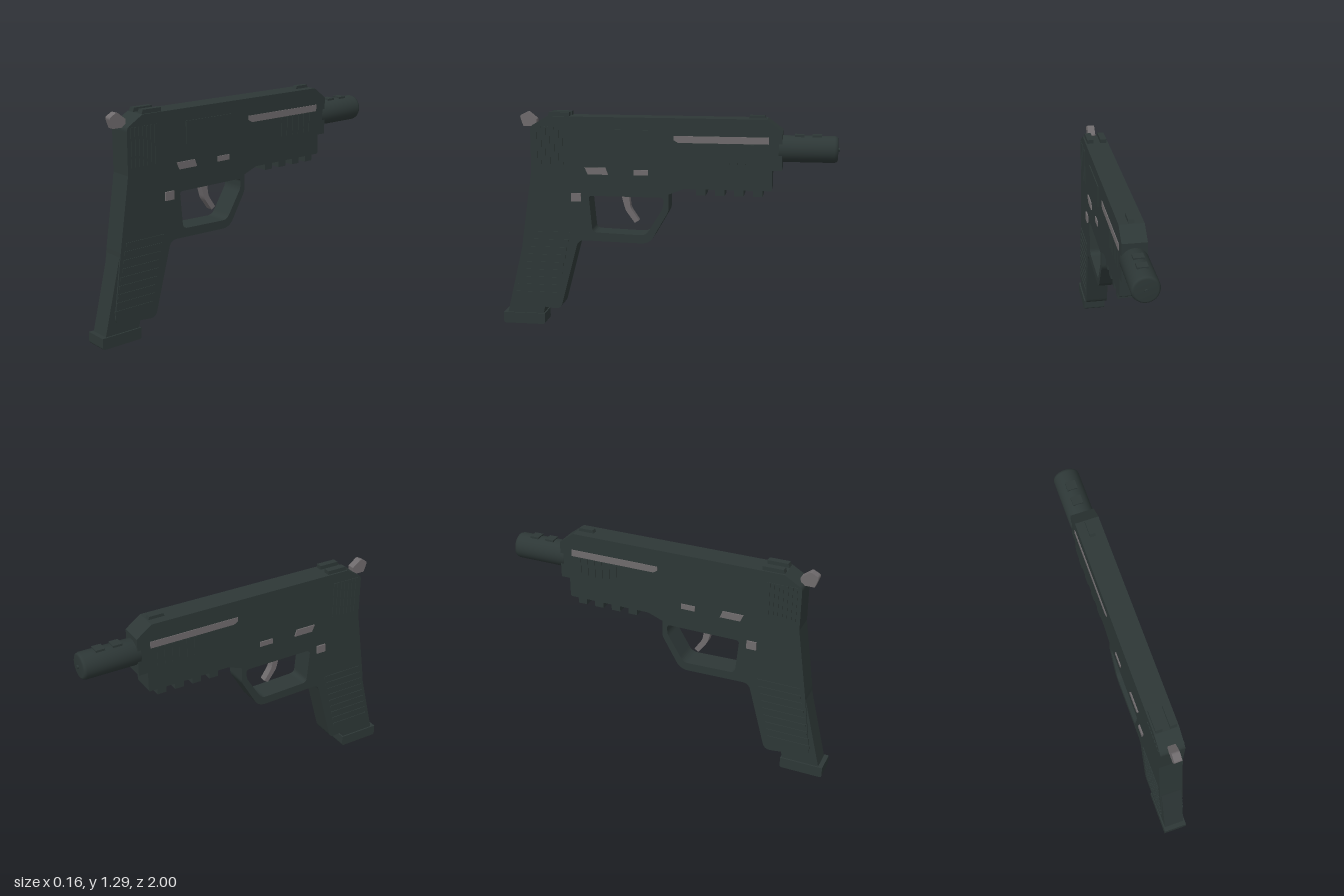
import * as THREE from 'three';

const dark = new THREE.MeshStandardMaterial({ color: 0x2d3736 });
dark.name = 'dark green grey';
const grey = new THREE.MeshStandardMaterial({ color: 0x6e6a6c });
grey.name = 'worn steel grey';

// Traces [z, y, cornerRadius] points, rounding corners that have a radius
function trace(path, pts) {
  const n = pts.length;
  pts.forEach((p, i) => {
    const v = new THREE.Vector2(p[0], p[1]);
    const toward = (q) => new THREE.Vector2(q[0], q[1]).sub(v).setLength(p[2] || 0).add(v);
    const a = toward(pts[(i + n - 1) % n]);
    const b = toward(pts[(i + 1) % n]);
    if (i === 0) path.moveTo(a.x, a.y); else path.lineTo(a.x, a.y);
    if (p[2]) path.quadraticCurveTo(v.x, v.y, b.x, b.y);
  });
  path.closePath();
  return path;
}

// Side profile extruded across x, centred at x
function profile(name, pts, halfWidth, material, x = 0, hole = null) {
  const shape = trace(new THREE.Shape(), pts);
  if (hole) shape.holes.push(trace(new THREE.Path(), hole));
  const geo = new THREE.ExtrudeGeometry(shape, { depth: halfWidth * 2, bevelEnabled: false, curveSegments: 6 });
  geo.translate(0, 0, -halfWidth);
  geo.rotateY(-Math.PI / 2);
  const mesh = new THREE.Mesh(geo, material);
  mesh.name = name;
  mesh.position.x = x;
  return mesh;
}

// Box given by its ranges
function box(name, x0, x1, y0, y1, z0, z1, material) {
  const mesh = new THREE.Mesh(new THREE.BoxGeometry(x1 - x0, y1 - y0, z1 - z0), material);
  mesh.name = name;
  mesh.position.set((x0 + x1) / 2, (y0 + y1) / 2, (z0 + z1) / 2);
  return mesh;
}

export function createModel() {
  const model = new THREE.Group();
  const W = 0.069;

  // Slide
  model.add(profile('slide', [
    [0.803, 0.98], [0.803, 1.21, 0.02], [0.70, 1.272], [-0.585, 1.272], [-0.675, 1.205], [-0.675, 0.98],
  ], W, dark));

  // Frame with grip and trigger guard
  model.add(profile('frame', [
    [0.803, 0.98], [-0.62, 0.98], [-0.62, 0.86, 0.01], [-0.11, 0.86], [-0.02, 0.825],
    [-0.02, 0.725, 0.02], [0.095, 0.525, 0.05], [0.525, 0.535, 0.04],
    [0.64, 0.10, 0.04], [0.915, 0.13, 0.04], [0.865, 0.53], [0.803, 0.95],
  ], W, dark, 0, [
    [0.457, 0.805, 0.02], [0.01, 0.805, 0.02], [0.012, 0.745, 0.02],
    [0.115, 0.575, 0.035], [0.437, 0.585, 0.03],
  ]));

  // Magazine
  model.add(profile('magazine', [
    [0.862, 0.53], [0.975, 0.06], [0.752, 0.06], [0.70, 0.30],
  ], 0.06, dark));
  model.add(profile('magazineBase', [
    [1.0, 0.067], [1.0, 0, 0.015], [0.742, 0, 0.015], [0.742, 0.067],
  ], W, dark));

  // Accessory rail teeth
  for (let i = 0; i < 4; i++) {
    const z = -0.21 - i * 0.11;
    model.add(box('railTooth', -W, W, 0.825, 0.87, z - 0.028, z + 0.028, dark));
  }

  // Barrel sleeve with rounded ends
  const sleeve = [[0, 0], [0.062, 0], [0.072, 0.006], [0.077, 0.02], [0.077, 0.335], [0, 0.335]];
  const barrel = new THREE.Mesh(
    new THREE.LatheGeometry(sleeve.map(([r, h]) => new THREE.Vector2(r, h)), 32), dark);
  barrel.name = 'barrel';
  barrel.rotation.x = Math.PI / 2;
  barrel.position.set(0, 1.1, -0.99);
  model.add(barrel);
  const tip = new THREE.Mesh(new THREE.CylinderGeometry(0.01, 0.01, 0.03, 12), dark);
  tip.name = 'muzzleTip';
  tip.rotation.x = Math.PI / 2;
  tip.position.set(0, 1.1, -0.985);
  model.add(tip);
  for (const z of [-0.77, -0.87]) {
    model.add(box('barrelLug', -0.03, 0.03, 1.15, 1.183, z - 0.027, z + 0.027, dark));
  }

  // Sights
  model.add(profile('frontSight', [
    [-0.475, 1.265], [-0.485, 1.29], [-0.57, 1.29], [-0.58, 1.265],
  ], 0.016, dark));
  for (const s of [-1, 1]) {
    model.add(profile('rearSight', [
      [0.70, 1.265], [0.69, 1.295], [0.57, 1.295], [0.57, 1.265],
    ], 0.019, dark, s * 0.04));
  }

  // Hammer and trigger
  model.add(profile('hammer', [
    [0.83, 1.293, 0.01], [0.878, 1.268, 0.015], [0.857, 1.207], [0.78, 1.207], [0.775, 1.25],
  ], 0.022, grey));
  model.add(profile('trigger', [
    [0.272, 0.815], [0.225, 0.815], [0.215, 0.73, 0.02], [0.165, 0.655], [0.19, 0.64], [0.245, 0.715, 0.02],
  ], 0.022, grey));

  // Ejection port cover on the left side
  model.add(box('ejectionPort', W - 0.01, W + 0.005, 1.07, 1.2, 0.08, 0.41, dark));

  // Details on both sides
  for (const s of [-1, 1]) {
    const side = new THREE.Group();
    side.name = s > 0 ? 'leftDetails' : 'rightDetails';
    const x = s * W;
    for (let i = 0; i < 7; i++) {
      const z = 0.615 + i * 0.026;
      side.add(box('rearSerration', x - 0.004, x + 0.004, 0.99, 1.21, z - 0.008, z + 0.008, dark));
    }
    for (let i = 0; i < 6; i++) {
      const z = -0.32 - i * 0.046;
      side.add(box('frontSerration', x - 0.004, x + 0.004, 1.01, 1.125, z - 0.01, z + 0.01, dark));
    }
    for (let i = 0; i < 9; i++) {
      const y = 0.57 - i * 0.047;
      const z = 0.575 + i * 0.0105;
      side.add(box('gripRib', x - 0.004, x + 0.004, y - 0.011, y + 0.011, z, z + 0.255, dark));
    }
    side.add(profile('slideSlot', [
      [-0.05, 1.17], [-0.05, 1.145], [-0.075, 1.13], [-0.598, 1.13], [-0.598, 1.17],
    ], 0.004, grey, x));
    side.add(profile('slideStop', [
      [0.478, 0.975], [0.353, 0.975], [0.338, 0.934], [0.46, 0.934],
    ], 0.007, grey, x));
    side.add(box('takedownLever', x - 0.006, x + 0.006, 0.935, 0.966, 0.1, 0.185, grey));
    side.add(box('magazineRelease', x - 0.009, x + 0.009, 0.77, 0.82, 0.503, 0.562, grey));
    model.add(side);
  }

  return model;
}
